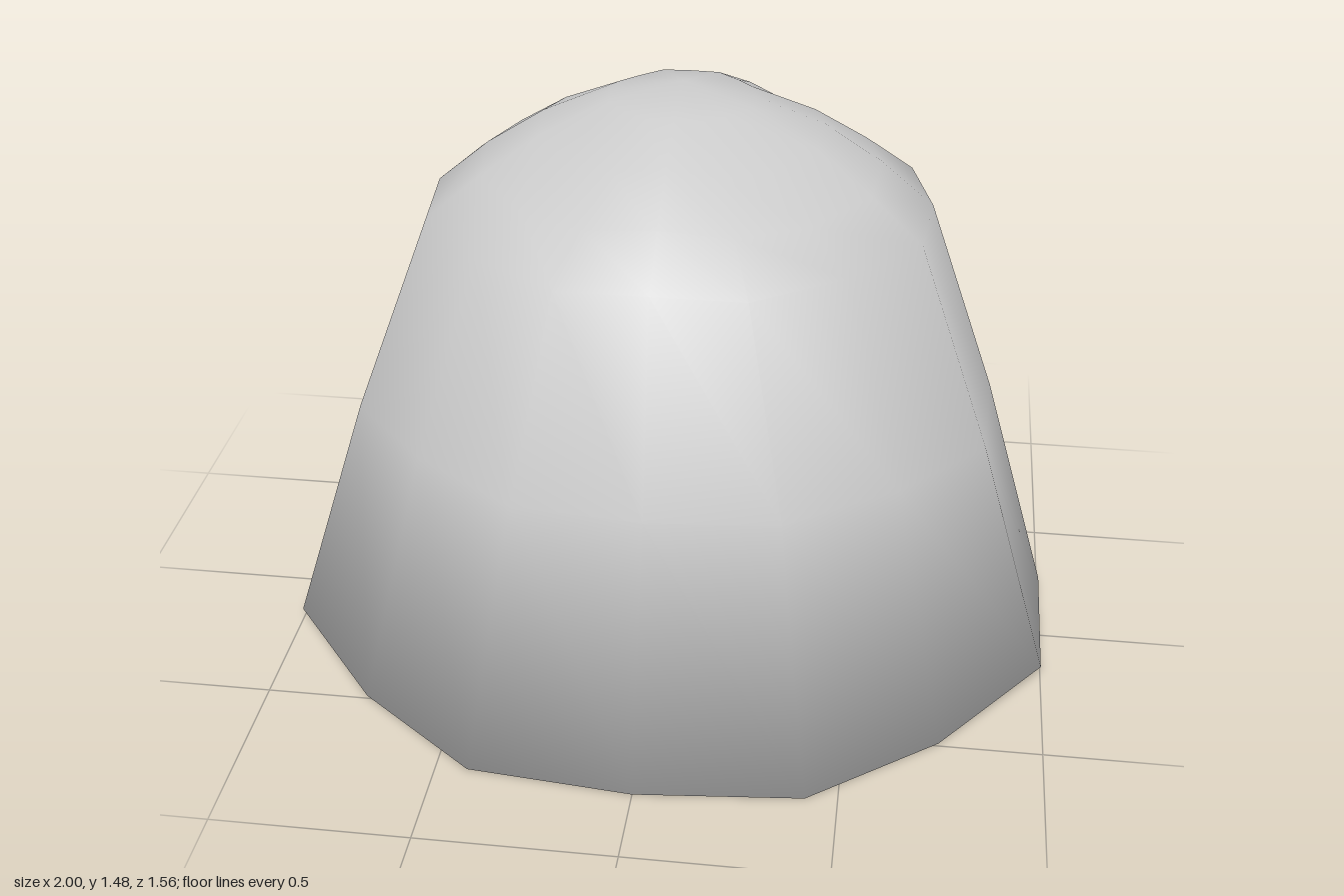
import * as THREE from 'three';
import { mergeVertices } from 'three/addons/utils/BufferGeometryUtils.js';

// Half of the shell from the middle of the brow round to the middle of the
// full side: each column gives its lower edge, middle and crown-ring points.
const HALF = [
  [[0, 1.04, -0.78], [0, 1.1, -0.783], [0, 1.15, -0.77]],
  [[0.26, 1.04, -0.78], [0.26, 1.1, -0.78], [0.25, 1.15, -0.765]],
  [[0.46, 0.96, -0.63], [0.46, 1.06, -0.63], [0.44, 1.15, -0.61]],
  [[0.93, 0.1, -0.55], [0.75, 0.62, -0.53], [0.58, 1.16, -0.45]],
  [[1, 0.05, -0.2], [0.82, 0.66, -0.2], [0.64, 1.17, -0.2]],
  [[1, 0.03, 0.18], [0.81, 0.65, 0.11], [0.62, 1.17, 0.04]],
  [[0.74, 0, 0.49], [0.6, 0.65, 0.34], [0.45, 1.18, 0.26]],
  [[0.42, 0, 0.74], [0.33, 0.65, 0.53], [0.23, 1.185, 0.42]],
  [[0, 0, 0.78], [0, 0.65, 0.56], [0, 1.19, 0.43]],
];
const APEX = [0, 1.475, -0.2];
const HOLLOW = [0, 0.63, -0.14];

// Dome profile: share of the way in to the apex, share of the rise along
// the main axes, and the flatter rise along the diagonals
const DOME = [[0.21, 0.37, 0.28], [0.44, 0.68, 0.58], [0.71, 0.885, 0.88], [1, 1, 1]];

// Continue a column from the crown ring over the dome
function outerColumn(col) {
  const [x, y, z] = col[2];
  const diagonal = Math.sin(2 * Math.atan2(x - APEX[0], z - APEX[2])) ** 2;
  const dome = DOME.map(([t, axial, flat]) => [
    x + (APEX[0] - x) * t,
    y + (APEX[1] - y) * THREE.MathUtils.lerp(axial, flat, diagonal),
    z + (APEX[2] - z) * t,
  ]);
  return [...col, ...dome];
}

// Inner side of the thick lower edge
const innerEdge = ([x, y, z]) => [x * 0.8, y, z * (z > 0 ? 0.8 : 0.93)];

// Smooth normals in which every face counts the same, large or small
function smoothNormals(geometry) {
  const { position } = geometry.attributes;
  const normals = Array.from({ length: position.count }, () => new THREE.Vector3());
  const triangle = new THREE.Triangle();
  const faceNormal = new THREE.Vector3();
  for (let i = 0; i < geometry.index.count; i += 3) {
    const corners = [0, 1, 2].map(k => geometry.index.getX(i + k));
    triangle.setFromAttributeAndIndices(position, ...corners).getNormal(faceNormal);
    corners.forEach(c => normals[c].add(faceNormal));
  }
  const values = normals.flatMap(n => n.normalize().toArray());
  geometry.setAttribute('normal', new THREE.Float32BufferAttribute(values, 3));
}

function shellGeometry() {
  const mirrored = HALF.slice(1, -1).reverse()
    .map(col => col.map(([x, y, z]) => [-x, y, z]));
  // Each column runs from the hollow out to the edge and up over the dome
  const columns = [...HALF, ...mirrored]
    .map(col => [HOLLOW, innerEdge(col[0]), ...outerColumn(col)]);
  const rows = columns[0].length;
  const index = [];
  columns.forEach((_, c) => {
    const next = ((c + 1) % columns.length) * rows;
    for (let r = 0; r < rows - 1; r++) {
      const a = c * rows + r, b = next + r;
      // The first and last rows close to a point
      if (r < rows - 2) index.push(a, a + 1, b + 1);
      if (r > 0) index.push(a, b + 1, b);
    }
  });
  const geometry = new THREE.BufferGeometry();
  geometry.setAttribute('position', new THREE.Float32BufferAttribute(columns.flat(2), 3));
  geometry.setIndex(index);
  const welded = mergeVertices(geometry, 1e-4);
  smoothNormals(welded);
  return welded;
}

export function createModel() {
  const group = new THREE.Group();
  group.name = 'hairpiece';
  const material = new THREE.MeshStandardMaterial({ color: 0xcccccc });
  const shell = new THREE.Mesh(shellGeometry(), material);
  shell.name = 'hairShell';
  group.add(shell);
  return group;
}
